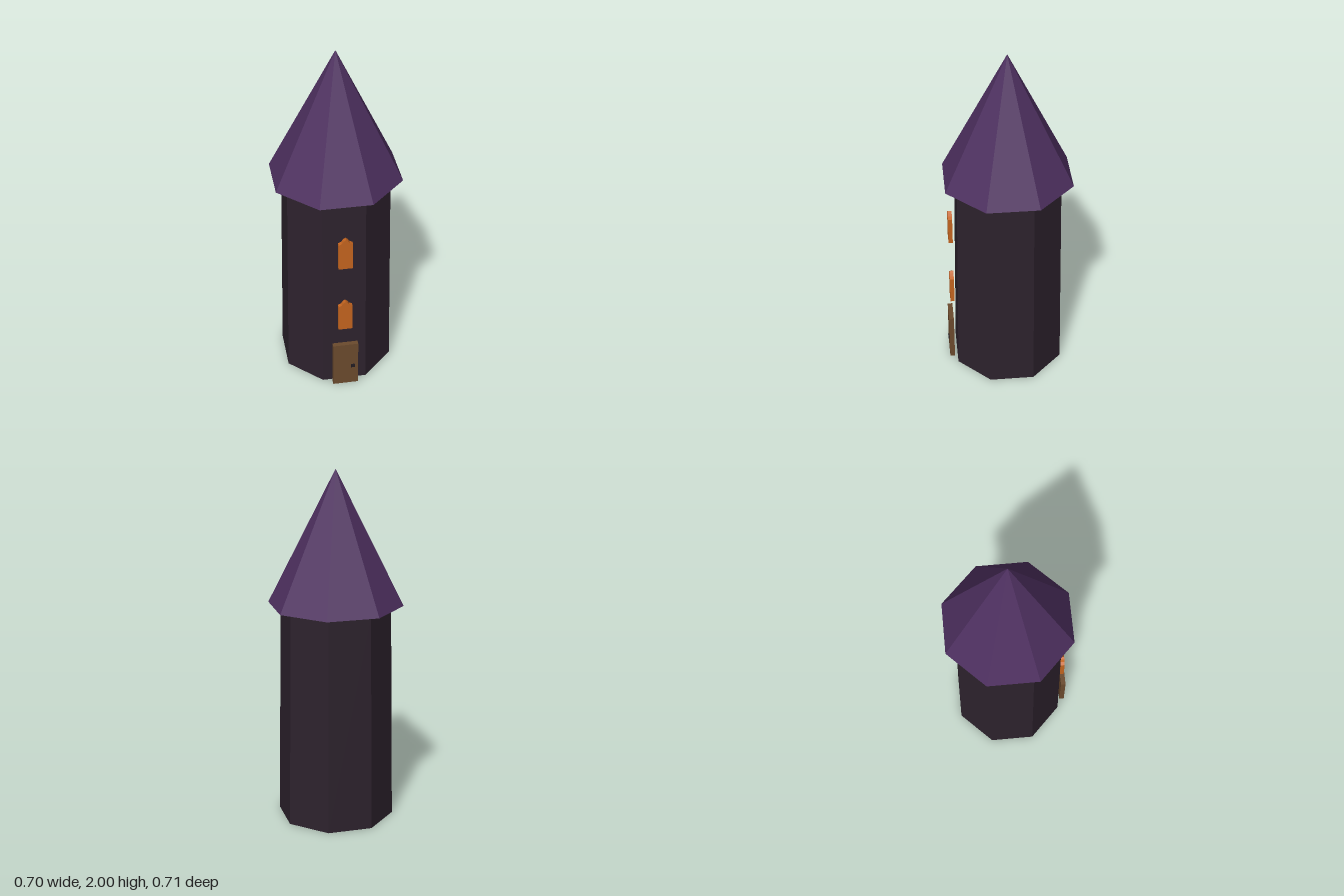
import * as THREE from 'three';

const material = (name, color) => {
  const m = new THREE.MeshStandardMaterial({ color, flatShading: true });
  m.name = name;
  return m;
};

export function createModel() {
  const stone = material('dark stone', 0x2d222d);
  const tiles = material('purple tiles', 0x4e3060);
  const glow = material('orange glass', 0xc4641f);
  const wood = material('brown wood', 0x6b4a2d);
  const iron = material('black iron', 0x221c22);

  const tower = new THREE.Group();
  tower.name = 'tower';
  const add = (name, geometry, mat, x, y, z) => {
    const mesh = new THREE.Mesh(geometry, mat);
    mesh.name = name;
    mesh.position.set(x, y, z);
    tower.add(mesh);
    return mesh;
  };

  // Eight-sided body and roof, each with a flat side to the front
  const bodyHeight = 1.245;
  const roofHeight = 2 - bodyHeight;
  const centreZ = -0.003;
  add('walls', new THREE.CylinderGeometry(0.31, 0.33, bodyHeight, 8).rotateY(Math.PI / 8),
    stone, 0, bodyHeight / 2, centreZ);
  add('roof', new THREE.ConeGeometry(0.38, roofHeight, 8).rotateY(Math.PI / 8),
    tiles, 0, bodyHeight + roofHeight / 2, centreZ);

  // Door with its knob
  add('door', new THREE.BoxGeometry(0.146, 0.287, 0.028), wood, 0, 0.1435, 0.333);
  add('doorKnob', new THREE.BoxGeometry(0.021, 0.02, 0.016), iron, 0.042, 0.129, 0.346);

  // Pointed windows standing just proud of the wall
  const half = [[0.04, 0], [0.04, 0.163], [0.022, 0.172], [0.012, 0.187]];
  const outline = [...half, [0, 0.196], ...half.map(([x, y]) => [-x, y]).reverse()];
  const shape = new THREE.Shape(outline.map(([x, y]) => new THREE.Vector2(x, y)));
  const windowGeometry = new THREE.ExtrudeGeometry(shape, { depth: 0.024, bevelEnabled: false });
  add('lowerWindow', windowGeometry, glow, 0, 0.397, 0.31);
  add('upperWindow', windowGeometry, glow, 0, 0.826, 0.31);

  return tower;
}
